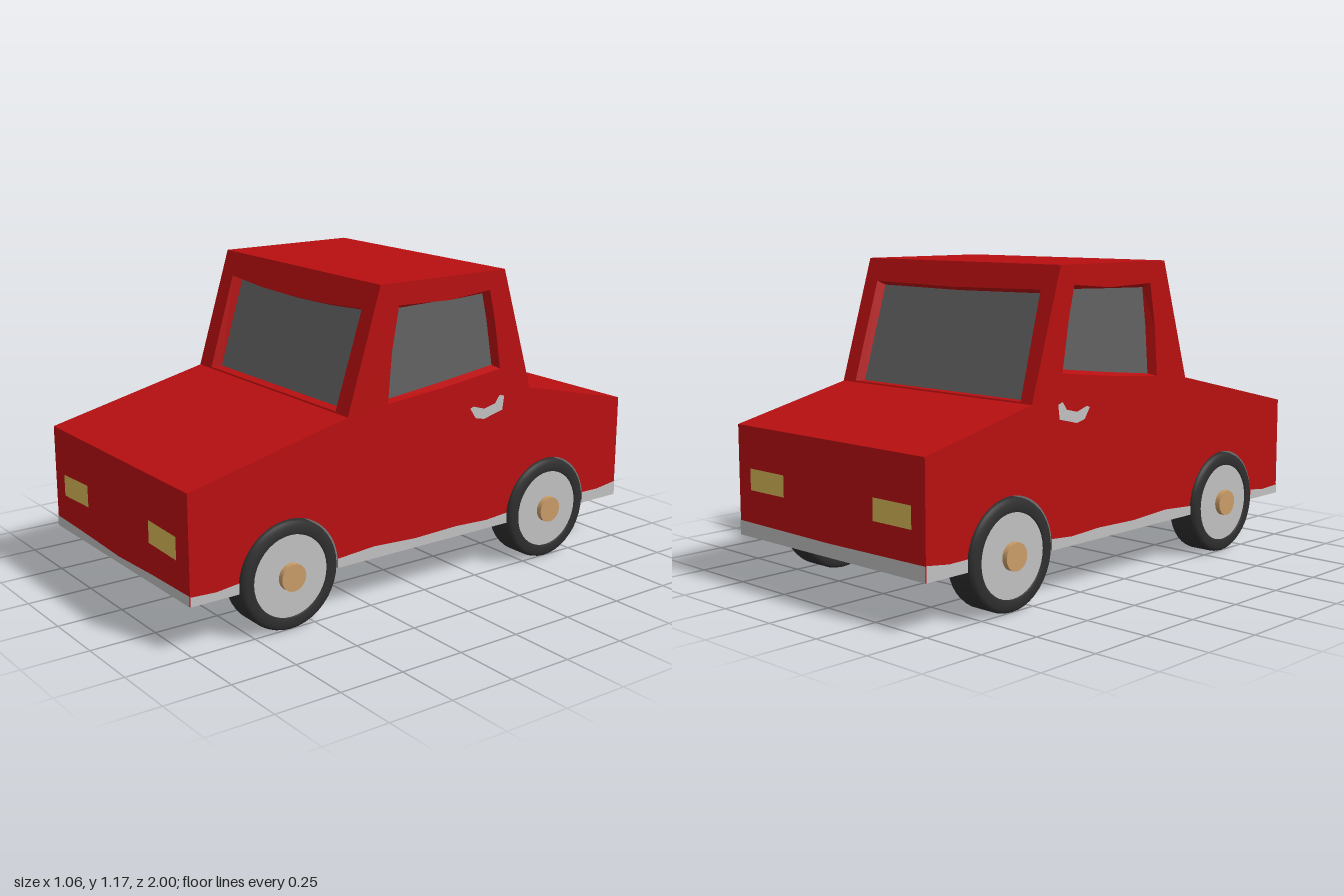
import * as THREE from 'three';

const paint = (name, color, side = THREE.FrontSide) => {
  const m = new THREE.MeshStandardMaterial({ color, side });
  m.name = name;
  return m;
};

export function createModel() {
  const car = new THREE.Group();
  car.name = 'pickupCar';
  const red = paint('red body', 0xb80f10, THREE.DoubleSide);
  const silver = paint('silver', 0xc0c0c0, THREE.DoubleSide);
  const glass = paint('grey glass', 0x626262);
  const yellow = paint('yellow lamp', 0xd8b858);
  const black = paint('black rubber', 0x2e2e2e);
  const tan = paint('tan hub', 0xc99c68);

  const add = (name, geo, mat, parent = car) => {
    const mesh = new THREE.Mesh(geo, mat);
    mesh.name = name;
    parent.add(mesh);
    return mesh;
  };
  const v2 = (pts) => pts.map(([a, b]) => new THREE.Vector2(a, b));

  // Flat polygon in a plane given by a matrix, with an optional hole
  function face(name, plane, pts, mat, hole, lift = 0) {
    const shape = new THREE.Shape(v2(pts));
    if (hole) shape.holes.push(new THREE.Path(v2(hole)));
    const geo = new THREE.ShapeGeometry(shape);
    geo.translate(0, 0, lift).applyMatrix4(plane);
    return add(name, geo, mat);
  }

  // Recessed window: reveal strip from the opening back to the glass
  function recessedWindow(name, plane, opening, pane, depth) {
    face(name + 'Glass', plane, pane, glass, null, -depth);
    const pos = [];
    opening.forEach((a, i) => {
      const j = (i + 1) % opening.length;
      const b = opening[j], c = pane[j], d = pane[i];
      const q = [[...a, 0], [...b, 0], [...c, -depth], [...d, -depth]];
      [0, 1, 2, 0, 2, 3].forEach((k) => pos.push(...q[k]));
    });
    const geo = new THREE.BufferGeometry();
    geo.setAttribute('position', new THREE.Float32BufferAttribute(pos, 3));
    geo.computeVertexNormals();
    add(name + 'Reveal', geo.applyMatrix4(plane), red);
  }

  // Plane across the car rising from a to b, points are [z, y]; dir 1 faces forward
  function crossPlane(a, b, dir) {
    const up = new THREE.Vector3(0, b[1] - a[1], b[0] - a[0]);
    const length = up.length();
    up.normalize();
    const u = new THREE.Vector3(dir, 0, 0);
    const plane = new THREE.Matrix4().makeBasis(u, up, u.clone().cross(up));
    plane.setPosition(0, a[1], a[0]);
    return { plane, rect: [[-0.5, 0], [0.5, 0], [0.5, length], [-0.5, length]] };
  }
  function panel(name, a, b, dir, mat = red, hole) {
    const { plane, rect } = crossPlane(a, b, dir);
    face(name, plane, rect, mat, hole);
    return plane;
  }

  // Corners of the side profile, [z, y]
  const base = 0.18;
  const hoodFront = [1, 0.575], hoodBack = [0.355, 0.725];
  const roofFront = [0.215, 1.175], roofBack = [-0.36, 1.175];
  const deckFront = [-0.505, 0.705], deckBack = [-1, 0.59];
  const axles = [0.605, -0.61], wheelY = 0.2, archR = 0.206;
  const dip = Math.asin((wheelY - base) / archR);
  const half = archR * Math.cos(dip);

  // Body panels across the car
  const nose = panel('nosePanel', [1, base], hoodFront, 1);
  const tail = panel('tailPanel', [-1, base], deckBack, -1);
  panel('hood', hoodFront, hoodBack, 1);
  panel('roof', roofFront, roofBack, 1);
  panel('rearDeck', deckBack, deckFront, -1);

  // Windscreen and rear window
  const screen = [[-0.415, 0.006], [0.425, 0.006], [0.43, 0.377], [0.2, 0.362],
    [0, 0.358], [-0.2, 0.362], [-0.42, 0.377]];
  const screenPane = [[-0.395, 0.021], [0.405, 0.021], [0.405, 0.374], [0.2, 0.361],
    [0, 0.357], [-0.2, 0.361], [-0.395, 0.374]];
  recessedWindow('windscreen', panel('windscreenPanel', hoodBack, roofFront, 1, red, screen),
    screen, screenPane, 0.032);
  const rear = [[-0.43, 0.006], [0.445, 0.006], [0.43, 0.402], [0, 0.395], [-0.43, 0.402]];
  const rearPane = [[-0.41, 0.016], [0.42, 0.016], [0.41, 0.395], [0, 0.39], [-0.41, 0.395]];
  recessedWindow('rearWindow', panel('rearWindowPanel', deckFront, roofBack, -1, red, rear),
    rear, rearPane, 0.028);

  // Underside between the wheel channels
  [[axles[0] + half, 1], [axles[1] + half, axles[0] - half], [-1, axles[1] - half]]
    .forEach(([z0, z1]) => panel('underside', [z0, base], [z1, base], 1, silver));

  // Wheel channels running through the whole width
  axles.forEach((z) => {
    const geo = new THREE.CylinderGeometry(archR, archR, 1, 32, 1, true, -dip, Math.PI + 2 * dip);
    geo.rotateZ(Math.PI / 2).translate(0, wheelY, z);
    add('wheelChannel', geo, silver);
  });

  // Side outline with the arches cut out
  const outline = [hoodFront, hoodBack, roofFront, roofBack, deckFront, deckBack, [-1, base]];
  [...axles].reverse().forEach((z) => {
    for (let i = 0; i <= 32; i++) {
      const t = Math.PI + dip - (i / 32) * (Math.PI + 2 * dip);
      outline.push([z + archR * Math.cos(t), wheelY + archR * Math.sin(t)]);
    }
  });
  outline.push([1, base]);

  const sideOpening = [[0.179, 0.746], [0.163, 0.933], [0.133, 1.094], [-0.1, 1.088],
    [-0.29, 1.104], [-0.318, 0.987], [-0.35, 0.8], [-0.072, 0.767]];
  const sidePane = [[0.163, 0.754], [0.147, 0.933], [0.126, 1.078], [-0.1, 1.083],
    [-0.281, 1.088], [-0.305, 0.985], [-0.336, 0.811], [-0.072, 0.779]];
  const handle = [[-0.206, 0.668], [-0.233, 0.628], [-0.275, 0.618], [-0.366, 0.64],
    [-0.374, 0.693], [-0.35, 0.7], [-0.329, 0.671], [-0.275, 0.658], [-0.222, 0.674]];
  const z1 = axles[0], z2 = axles[1];
  const trims = [
    [[1, base], [1, 0.215], [0.9, 0.21], [z1 + 0.205, 0.22], [z1 + half, base]],
    [[z1 - half, base], [z1 - 0.205, 0.215], [0.24, 0.226], [0.05, 0.216], [-0.15, 0.221],
      [-0.3, 0.214], [z2 + 0.205, 0.222], [z2 + half, base]],
    [[z2 - half, base], [z2 - 0.205, 0.225], [-0.9, 0.224], [-1, 0.237], [-1, base]],
  ];

  // Both sides: skin, window, handle, sill trim and wheels
  [['left', 1], ['right', -1]].forEach(([side, s]) => {
    const plane = new THREE.Matrix4().makeBasis(
      new THREE.Vector3(0, 0, -s), new THREE.Vector3(0, 1, 0), new THREE.Vector3(s, 0, 0));
    plane.setPosition(s * 0.5, 0, 0);
    const flip = (pts) => pts.map(([z, y]) => [-s * z, y]);
    face(side + 'BodySide', plane, flip(outline), red, flip(sideOpening));
    recessedWindow(side + 'Window', plane, flip(sideOpening), flip(sidePane), 0.032);
    face(side + 'DoorHandle', plane, flip(handle), silver, null, 0.002);
    trims.forEach((t) => face(side + 'SillTrim', plane, flip(t), silver, null, 0.002));

    axles.forEach((z, i) => {
      const wheel = new THREE.Group();
      wheel.name = side + (i ? 'RearWheel' : 'FrontWheel');
      wheel.position.set(s * 0.45, wheelY, z);
      wheel.rotation.z = -s * Math.PI / 2;
      car.add(wheel);
      const tyre = [[0.15, -0.058], [0.155, -0.065], [0.185, -0.065], [0.197, -0.055], [0.2, -0.045],
        [0.2, 0.045], [0.197, 0.055], [0.185, 0.065], [0.155, 0.065], [0.15, 0.058]];
      add('tyre', new THREE.LatheGeometry(v2(tyre), 40), black, wheel);
      add('wheelDisc', new THREE.CylinderGeometry(0.152, 0.152, 0.118, 40), silver, wheel);
      add('hub', new THREE.CylinderGeometry(0.05, 0.05, 0.155, 24), tan, wheel)
        .position.y = 0.0025;
    });
  });

  // Lamps and bumper trim on nose and tail; heights measured from the base
  const box = (x0, x1, y0, y1, tilt) =>
    [[x0, y0 - base], [x1, y0 + tilt - base], [x1, y1 + tilt - base], [x0, y1 - base]];
  face('headlamp', nose, box(-0.425, -0.23, 0.319, 0.402, 0.007), yellow, null, 0.002);
  face('headlamp', nose, box(0.23, 0.418, 0.326, 0.409, -0.006), yellow, null, 0.002);
  face('tailLamp', tail, box(-0.43, -0.235, 0.355, 0.435, 0), yellow, null, 0.002);
  face('tailLamp', tail, box(0.245, 0.435, 0.345, 0.425, 0), yellow, null, 0.002);
  const bumper = [[-0.5, 0], [0.5, 0], [0.5, 0.038], [0.25, 0.034], [0, 0.025],
    [-0.25, 0.034], [-0.5, 0.04]];
  const rearBumper = [[-0.5, 0], [0.5, 0], [0.5, 0.055], [0, 0.05], [-0.5, 0.055]];
  face('frontBumperTrim', nose, bumper, silver, null, 0.002);
  face('rearBumperTrim', tail, rearBumper, silver, null, 0.002);

  return car;
}
